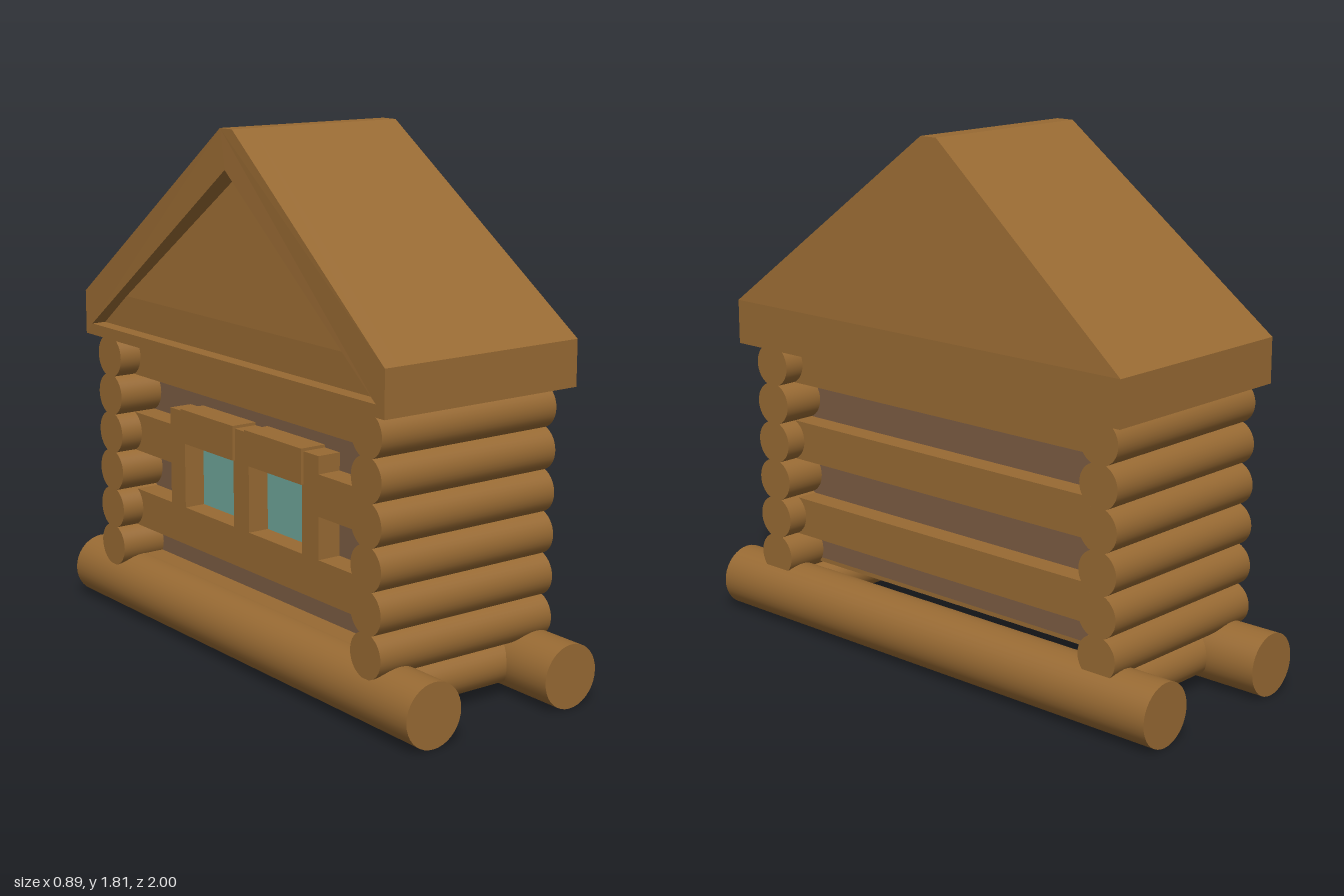
import * as THREE from 'three';

export function createModel() {
  const wood = new THREE.MeshStandardMaterial({ color: 0x986a33 });
  wood.name = 'wood';
  const darkWood = new THREE.MeshStandardMaterial({ color: 0x7c5d43 });
  darkWood.name = 'darkWood';
  const glass = new THREE.MeshStandardMaterial({ color: 0x6fa79b });
  glass.name = 'glass';

  const model = new THREE.Group();
  model.name = 'logCabin';
  const cabin = new THREE.Group();
  cabin.name = 'cabin';
  cabin.rotation.y = 0.056; // the cabin stands slightly turned
  model.add(cabin);

  const add = (name, geometry, material) => {
    const mesh = new THREE.Mesh(geometry, material);
    mesh.name = name;
    cabin.add(mesh);
    return mesh;
  };
  // Box given by its lower and upper limits on each axis
  const box = (name, material, [x0, x1], [y0, y1], [z0, z1]) =>
    add(name, new THREE.BoxGeometry(x1 - x0, y1 - y0, z1 - z0), material)
      .position.set((x0 + x1) / 2, (y0 + y1) / 2, (z0 + z1) / 2);
  const log = (name, radius, length, axis, x, y, z) => {
    const g = new THREE.CylinderGeometry(radius, radius, length, 36);
    if (axis === 'x') g.rotateZ(Math.PI / 2);
    else g.rotateX(Math.PI / 2);
    add(name, g, wood).position.set(x, y, z);
  };

  // Skids and the cross logs between them
  for (const s of [-1, 1]) {
    log('skidLog', 0.108, 1.955, 'z', s * 0.283, 0.108, 0);
    log('crossLog', 0.073, 0.5, 'x', 0, 0.108, s * 0.72);
  }

  // Stacked end-wall logs, front and back
  for (let i = 0; i < 6; i++) {
    for (const s of [-1, 1]) {
      log('wallLog', 0.076, 0.707, 'x', -0.0135, 0.25 + i * 0.14, s * 0.745);
    }
  }

  // Recessed wall core, and the floor that reaches out to one skid
  box('wallCore', darkWood, [-0.2, 0.185], [0.215, 1.02], [-0.74, 0.74]);
  box('floor', wood, [-0.285, 0.185], [0.2, 0.215], [-0.74, 0.74]);

  // Raised side-wall boards, broken by the windows on one side
  const rows = [[0.32, 0.455], [0.6, 0.74], [0.88, 1.02]];
  rows.forEach((row, i) => {
    box('sideBoard', wood, [0.185, 0.265], row, [-0.74, 0.74]);
    const spans = i === 1 ? [[-0.74, -0.45], [0.38, 0.74]] : [[-0.74, 0.74]];
    for (const span of spans) box('sideBoard', wood, [-0.285, -0.2], row, span);
  });

  // Window pair with posts and headers
  for (const z of [-0.43, -0.04, 0.35]) {
    box('windowPost', wood, [-0.285, -0.2], [0.455, 0.8], [z - 0.045, z + 0.045]);
  }
  for (const z of [-0.235, 0.155]) {
    box('windowPane', glass, [-0.208, -0.2], [0.455, 0.69], [z - 0.15, z + 0.15]);
    box('windowHeader', wood, [-0.295, -0.2], [0.69, 0.81], [z - 0.16, z + 0.16]);
  }

  // Roof: shapes drawn in (z, y), extruded along x; each end leans by its own amount
  const polygon = (points) => new THREE.Shape(points.map(([z, y]) => new THREE.Vector2(z, y)));
  const roofPart = (name, shape, [x0, lean0], [x1, lean1]) => {
    const g = new THREE.ExtrudeGeometry(shape, { depth: x1 - x0, bevelEnabled: false });
    g.translate(0, 0, x0);
    g.rotateY(Math.PI / 2);
    const p = g.attributes.position;
    const middle = (x0 + x1) / 2;
    for (let i = 0; i < p.count; i++) {
      const t = Math.max(0, (p.getY(i) - 1.18) / 0.63);
      p.setX(i, p.getX(i) + t * (p.getX(i) < middle ? lean0 : lean1));
    }
    g.computeVertexNormals();
    add(name, g, wood);
  };
  const bottom = [[-0.862, 1.02], [0.862, 1.02]];
  const top = [[0.862, 1.175], [0.034, 1.812], [-0.034, 1.812], [-0.862, 1.175]];
  const rimEnd = [-0.391, 0.03];
  const recess = [-0.338, 0.06];
  const plainEnd = [0.385, -0.076];
  roofPart('eaves', polygon([...bottom, top[0], top[3]]), recess, plainEnd);
  roofPart('roof', polygon(top), recess, plainEnd);

  // Rim around the recessed gable
  const rim = polygon([...bottom, ...top]);
  rim.holes.push(polygon([[-0.82, 1.06], [0, 1.68], [0.82, 1.06]]));
  roofPart('gableRim', rim, rimEnd, recess);

  return model;
}
